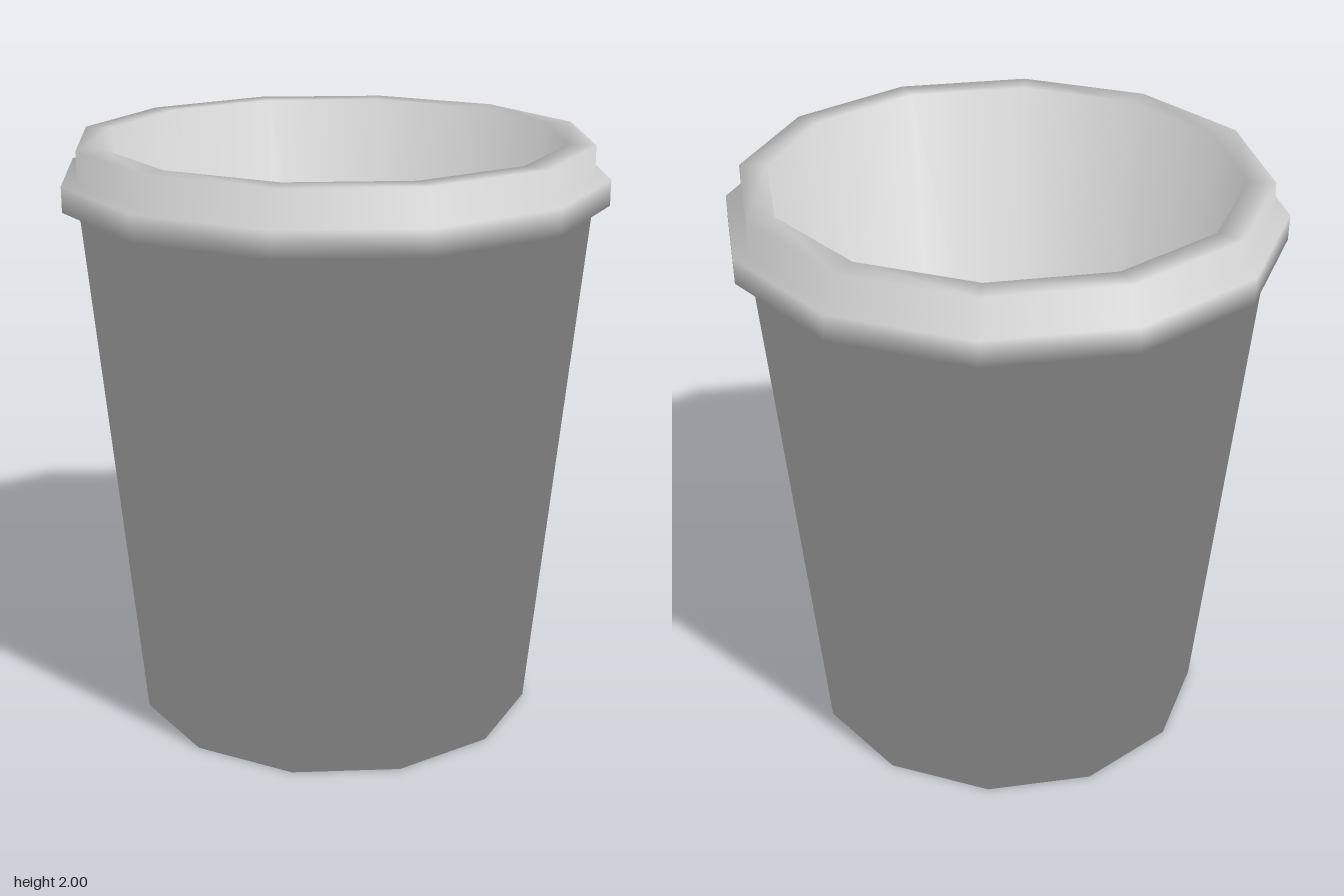
import * as THREE from 'three';

const SIDES = 12;

// Lathe whose normals bisect the two profile segments meeting at each point
function softLathe(points) {
  const geometry = new THREE.LatheGeometry(points, SIDES);
  const segmentNormals = points.slice(1).map((p, j) => {
    const d = p.clone().sub(points[j]).normalize();
    return new THREE.Vector2(d.y, -d.x);
  });
  const last = segmentNormals.length - 1;
  const pointNormals = points.map((_, j) =>
    segmentNormals[Math.max(j - 1, 0)].clone().add(segmentNormals[Math.min(j, last)]).normalize());

  const normal = geometry.attributes.normal;
  for (let i = 0; i <= SIDES; i++) {
    const angle = (i / SIDES) * Math.PI * 2;
    pointNormals.forEach((n, j) =>
      normal.setXYZ(i * points.length + j, n.x * Math.sin(angle), n.y, n.x * Math.cos(angle)));
  }
  return geometry;
}

export function createModel() {
  const group = new THREE.Group();
  group.name = 'bucket';
  const material = new THREE.MeshStandardMaterial({ color: 0xcccccc });

  // One closed twelve-sided shell: underside, wall, rim collar, lip, inside, floor
  const profile = [
    [0, 0], [0.695, 0],                 // underside
    [0.86, 1.805],                      // tapered outer wall
    [0.915, 1.805], [0.915, 1.89],      // projecting collar
    [0.862, 1.89], [0.862, 2],          // raised lip
    [0.772, 2],                         // lip top
    [0.62, 0.08], [0, 0.08],            // inner wall and floor
  ].map(([r, y]) => new THREE.Vector2(r, y));

  const shell = new THREE.Mesh(softLathe(profile), material);
  shell.name = 'bucketShell';
  group.add(shell);
  return group;
}
